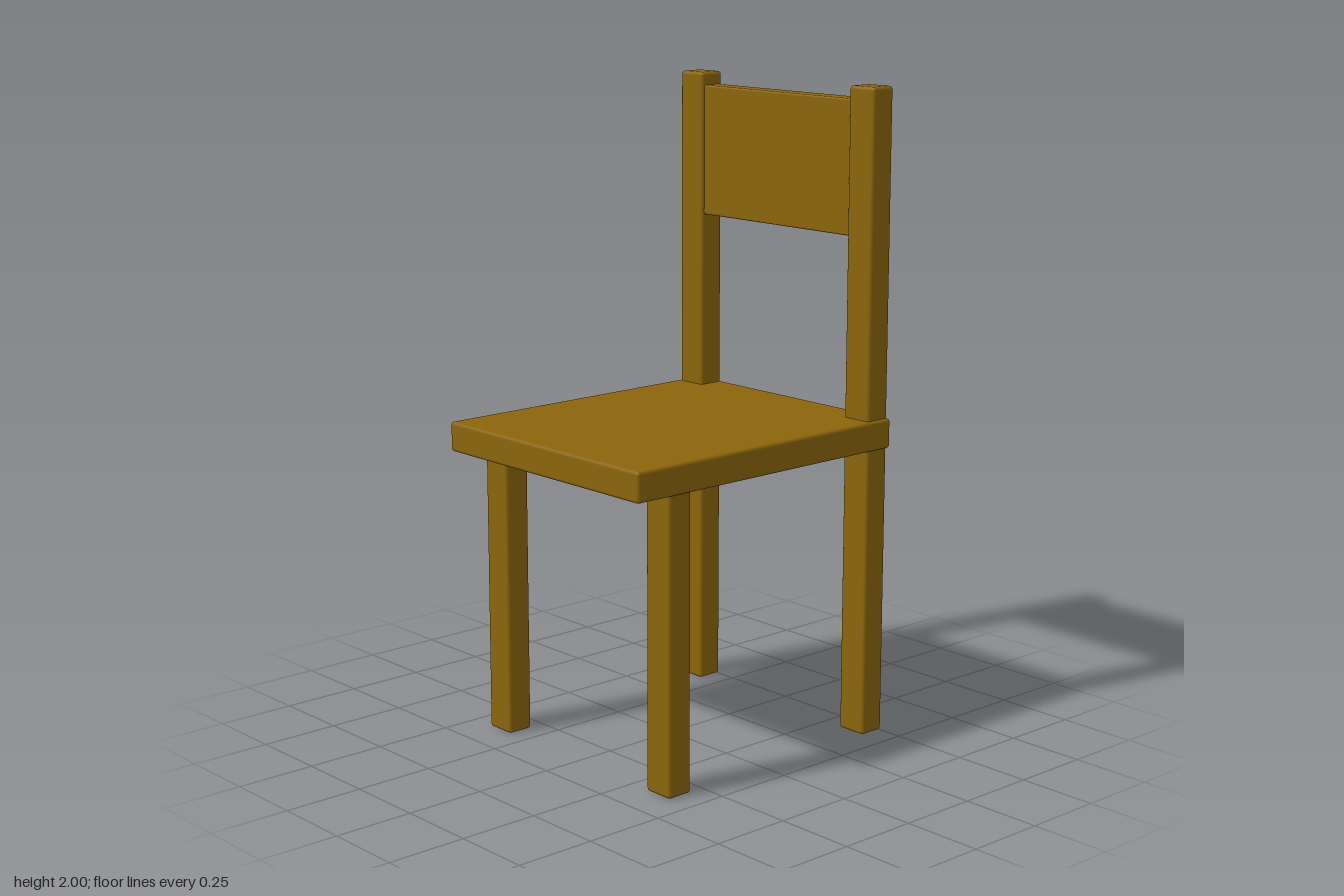
import * as THREE from 'three';
import { RoundedBoxGeometry } from 'three/addons/geometries/RoundedBoxGeometry.js';

export function createModel() {
  const chair = new THREE.Group();
  chair.name = 'chair';
  const wood = new THREE.MeshStandardMaterial({ color: 0x8b650c });

  // Softly bevelled board spanning [min, max] on each axis
  function board(name, [x0, x1], [y0, y1], [z0, z1], radius = 0.01) {
    const geometry = new RoundedBoxGeometry(x1 - x0, y1 - y0, z1 - z0, 2, radius);
    const mesh = new THREE.Mesh(geometry, wood);
    mesh.name = name;
    mesh.position.set((x0 + x1) / 2, (y0 + y1) / 2, (z0 + z1) / 2);
    chair.add(mesh);
  }

  // Seat slab
  board('seat', [-0.43, 0.43], [0.905, 0.997], [-0.51, 0.51]);

  // Front legs stop inside the seat; rear posts run from floor to top
  for (const [side, s] of [['left', 1], ['right', -1]]) {
    const x = [s * 0.37 - 0.05, s * 0.37 + 0.05];
    board(`${side}FrontLeg`, x, [0, 0.95], [0.3, 0.385]);
    board(`${side}BackPost`, x, [0, 2], [-0.505, -0.42]);
  }

  // Backrest panel, its ends set into the posts
  board('backrest', [-0.36, 0.36], [1.55, 1.96], [-0.495, -0.43], 0.006);

  return chair;
}
